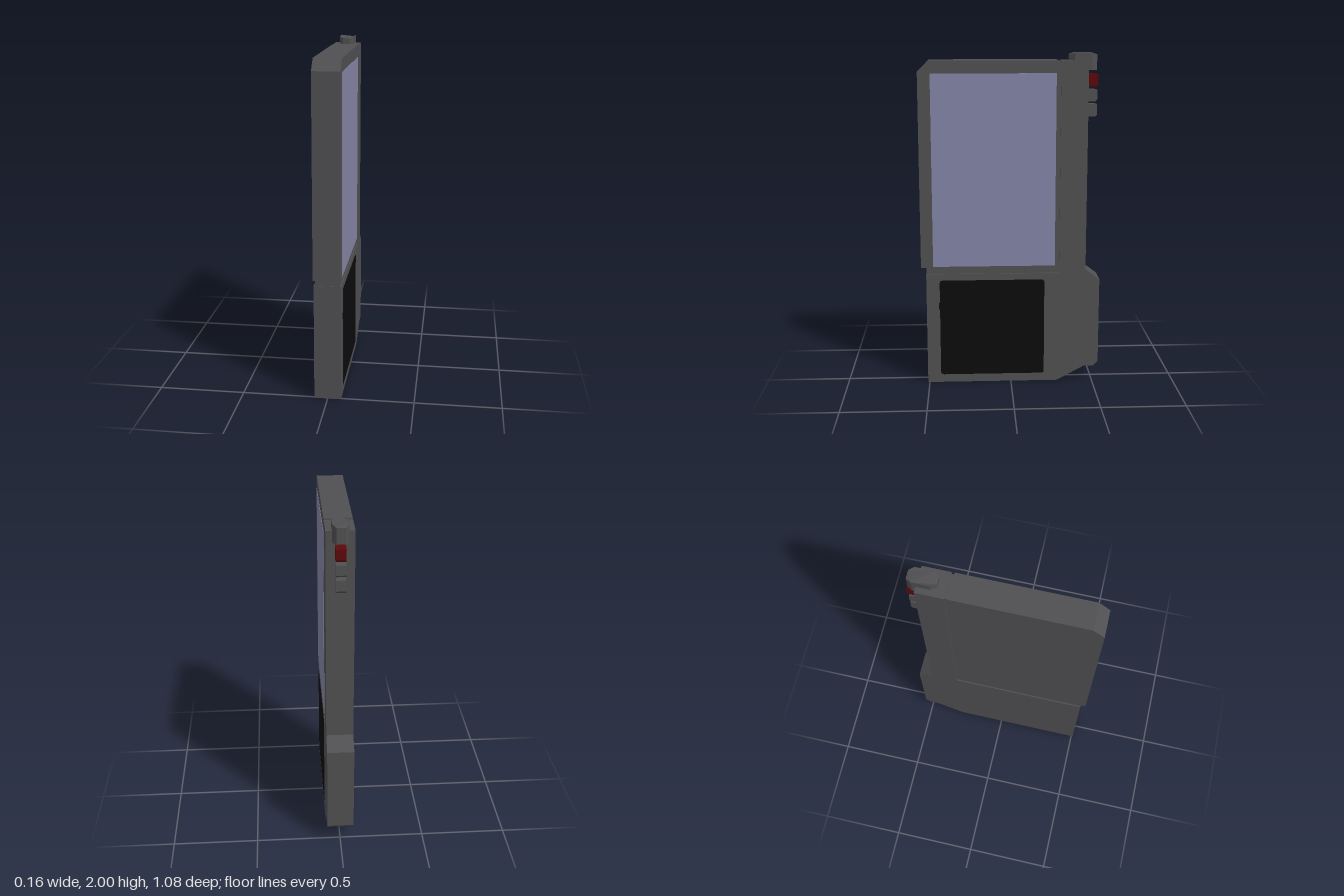
import * as THREE from 'three';

const mat = (name, color) => {
  const m = new THREE.MeshStandardMaterial({ color });
  m.name = name;
  return m;
};

export function createModel() {
  const group = new THREE.Group();
  const casing = mat('dark grey casing', 0x505052);
  const glass = mat('blue grey glass', 0x8485a6);
  const black = mat('black panel', 0x0c0c0c);
  const red = mat('dark red', 0x5c0808);

  const add = (name, geometry, material) => {
    const mesh = new THREE.Mesh(geometry, material);
    mesh.name = name;
    group.add(mesh);
    return mesh;
  };
  const outline = (pts) => new THREE.Shape(pts.map(([a, b]) => new THREE.Vector2(a, b)));

  // Side profile in (z, y), extruded across x and centred on x
  const slab = (name, shape, width, material, x = 0) => {
    const g = new THREE.ExtrudeGeometry(shape, { depth: width, bevelEnabled: false, curveSegments: 3 });
    g.translate(0, 0, -width / 2).rotateY(-Math.PI / 2).translate(x, 0, 0);
    return add(name, g, material);
  };
  const W = 0.156;
  const face = W / 2;

  // Lower body with the tall rear spine and grip bulge
  slab('body', outline([
    [0.51, 0], [0.51, 0.69], [-0.292, 0.69], [-0.292, 1.956], [-0.452, 1.956], [-0.452, 0.71],
    [-0.538, 0.645], [-0.538, 0.12], [-0.51, 0.09], [-0.45, 0.09], [-0.285, 0],
  ]), W, casing);

  // Display housing with a chamfered top front corner
  slab('displayHousing', outline([
    [0.54, 0.73], [0.54, 1.895], [0.477, 1.958], [-0.275, 1.958], [-0.275, 0.73],
  ]), W, casing);

  // Recessed strip joining the body and housing
  slab('seam', outline([
    [0.507, 0.67], [0.507, 0.75], [-0.26, 0.75], [-0.26, 1.948], [-0.31, 1.948], [-0.31, 0.67],
  ]), W - 0.014, casing);

  // Screen
  slab('screen', outline([
    [0.467, 0.737], [0.467, 1.885], [-0.265, 1.885], [-0.265, 0.737],
  ]), 0.004, glass, face);

  // Rounded keypad panel with a small tab
  const z0 = -0.203, z1 = 0.43, y0 = 0.05, y1 = 0.65, r = 0.018;
  const pad = new THREE.Shape();
  pad.moveTo(z0 + r, y0).lineTo(z1 - r, y0).quadraticCurveTo(z1, y0, z1, y0 + r);
  pad.lineTo(z1, 0.47).lineTo(z1 + 0.006, 0.47).lineTo(z1 + 0.006, 0.51).lineTo(z1, 0.51);
  pad.lineTo(z1, y1 - r).quadraticCurveTo(z1, y1, z1 - r, y1);
  pad.lineTo(z0 + r, y1).quadraticCurveTo(z0, y1, z0, y1 - r);
  pad.lineTo(z0, y0 + r).quadraticCurveTo(z0, y0, z0 + r, y0);
  slab('keypad', pad, 0.004, black, face);

  // Eight-sided cap overhanging the back of the spine, its ends dipping slightly
  const cap = new THREE.ExtrudeGeometry(outline([
    [-0.022, 0.343], [0.022, 0.343], [0.044, 0.374], [0.044, 0.475],
    [0.025, 0.505], [-0.025, 0.505], [-0.044, 0.475], [-0.044, 0.374],
  ]), { depth: 0.1, bevelEnabled: false });
  cap.rotateX(-Math.PI / 2).translate(0, 1.9, 0);
  const p = cap.attributes.position;
  for (let i = 0; i < p.count; i++) {
    if (p.getY(i) > 1.99 && Math.abs(p.getZ(i) + 0.424) > 0.07) p.setY(i, 1.99);
  }
  cap.computeVertexNormals();
  add('topCap', cap, casing);

  // Stacked buttons on the back of the spine
  const button = (name, bottom, top, back, material) => slab(name, outline([
    [-0.44, bottom], [-0.44, top], [back + 0.002, top - 0.004],
    [back, bottom + 0.012], [back + 0.01, bottom],
  ]), 0.056, material);
  button('redButton', 1.805, 1.88, -0.515, red);
  button('middleButton', 1.718, 1.79, -0.51, casing);
  button('lowerButton', 1.628, 1.705, -0.51, casing);

  return group;
}
